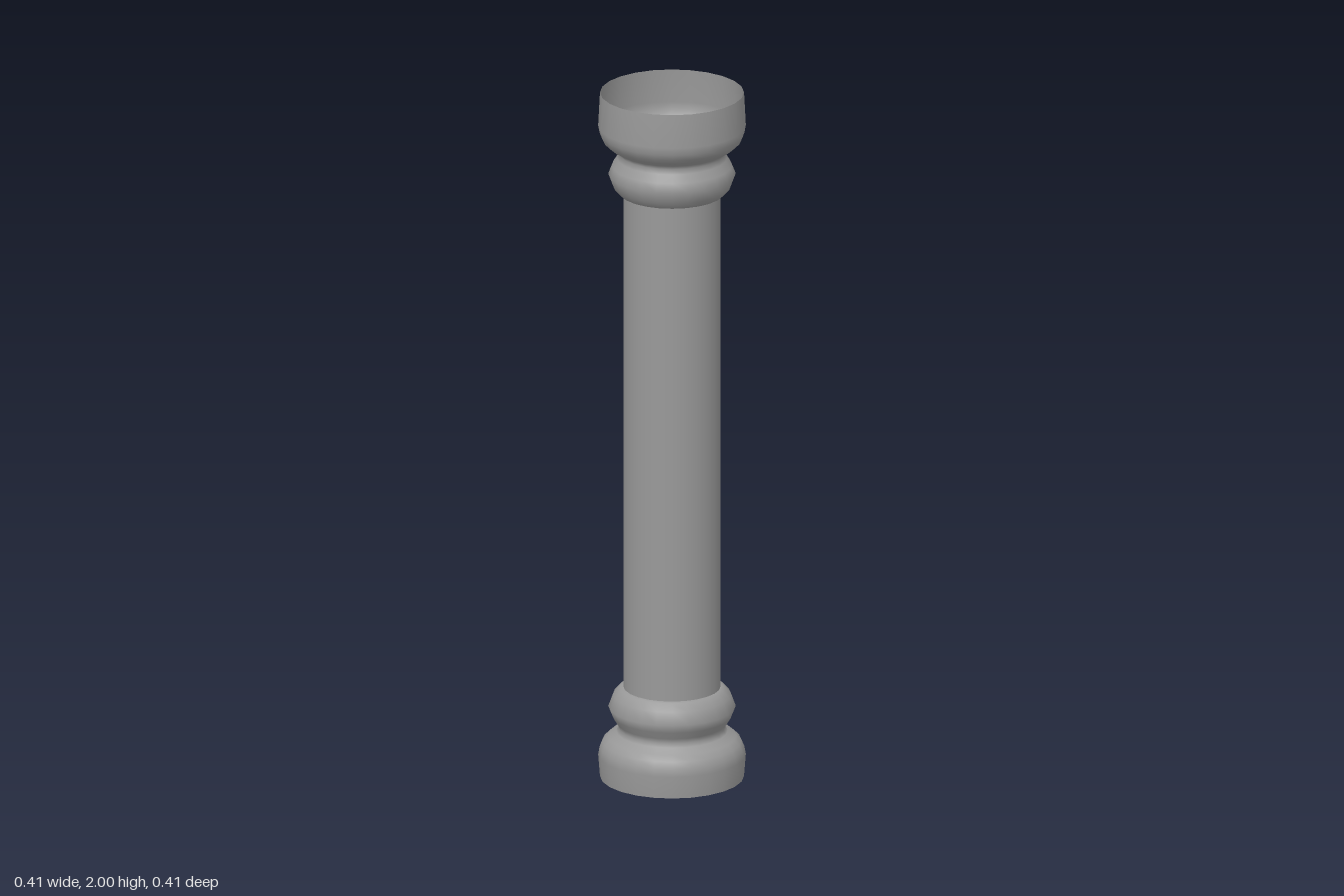
import * as THREE from 'three';

const SIDES = 24;
const SHAFT_R = 0.135;
const BASE_H = 0.262;
const CAPITAL_H = 0.294;

const material = new THREE.MeshStandardMaterial({ color: 0x999999, side: THREE.DoubleSide });

// Revolve [radius, height] points, listed from bottom to top
function turned(name, points) {
  const profile = points.map(([r, y]) => new THREE.Vector2(r, y));
  const mesh = new THREE.Mesh(new THREE.LatheGeometry(profile, SIDES), material);
  mesh.name = name;
  return mesh;
}

// Moulding measured outward from the shaft end: ledge, angular ring, neck, flared cup with an open rim
const moulding = (height) => [
  [SHAFT_R, 0], [0.146, 0.002], [0.164, 0.022], [0.177, 0.057], [0.167, 0.082],
  [0.153, 0.104], [0.148, 0.118], [0.155, 0.129], [0.178, 0.143], [0.193, 0.158],
  [0.201, 0.176], [0.205, 0.198], [0.2, height],
];

export function createModel() {
  const column = new THREE.Group();
  column.name = 'column';
  const top = 2 - CAPITAL_H;

  // Open tube between the two mouldings
  column.add(turned('shaft', [[SHAFT_R, BASE_H], [SHAFT_R, top]]));

  // Base moulding hangs down, capital moulding rises
  column.add(turned('base', moulding(BASE_H).map(([r, h]) => [r, BASE_H - h]).reverse()));
  column.add(turned('capital', moulding(CAPITAL_H).map(([r, h]) => [r, top + h])));

  return column;
}
